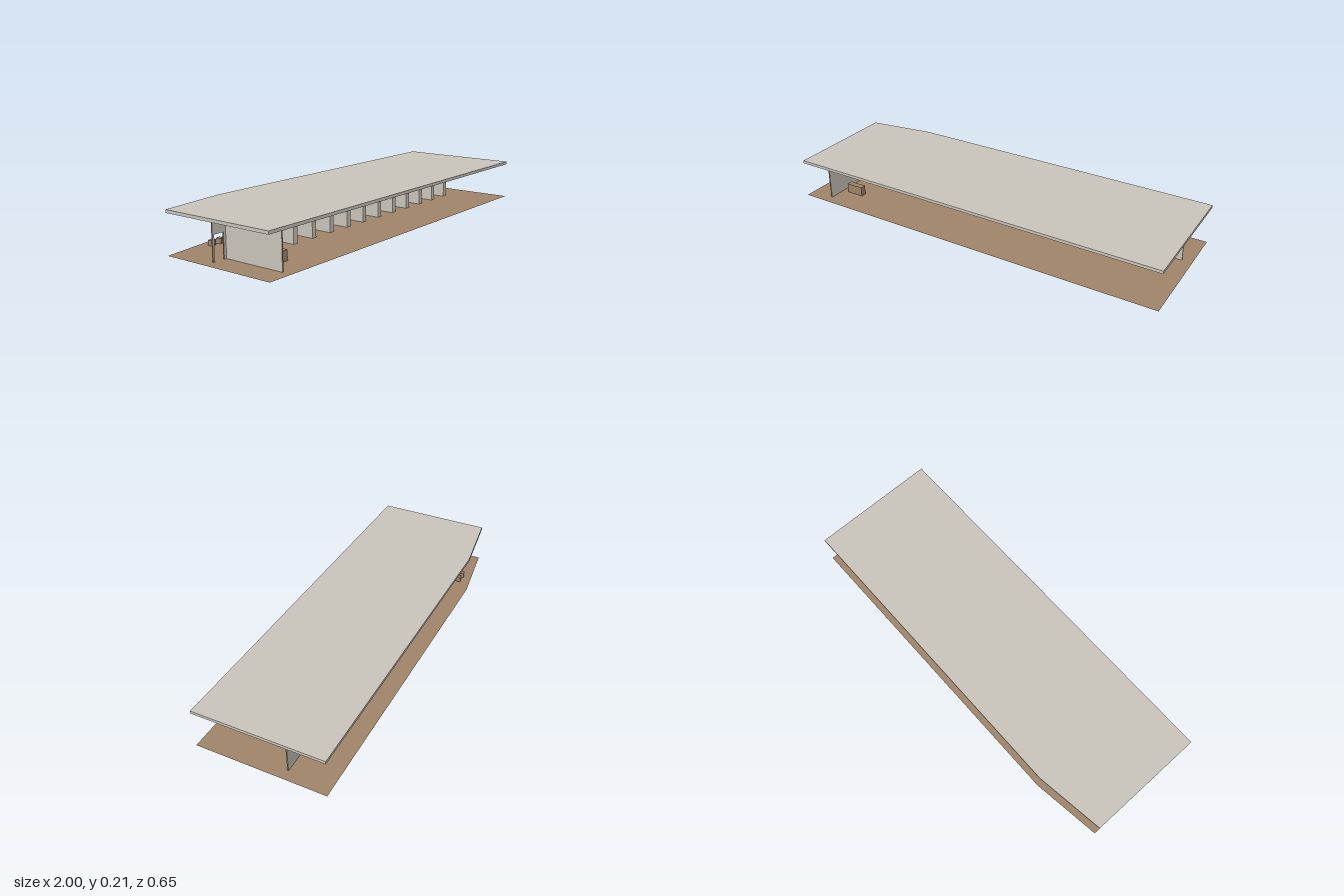
import * as THREE from 'three';

const stone = new THREE.MeshStandardMaterial({ color: 0xcbc6bc });
stone.name = 'pale stone';
const timber = new THREE.MeshStandardMaterial({ color: 0xa0856a });
timber.name = 'brown timber';
const ground = new THREE.MeshStandardMaterial({ color: 0xa0856a, side: THREE.DoubleSide });
ground.name = 'brown floor';

const ROOF_BASE = 0.191, ROOF_TOP = 0.206, WALL = 0.006;

// Slab plan, drawn as (x, -z), with one clipped back corner
const plan = () => new THREE.Shape([
  [-1, -0.325], [1, -0.325], [1, 0.325], [-0.65, 0.325], [-1, 0.275],
].map(([x, y]) => new THREE.Vector2(x, y)));

export function createModel() {
  const model = new THREE.Group();
  model.name = 'pavilion';

  const add = (name, geometry, material, x = 0, y = 0, z = 0) => {
    const mesh = new THREE.Mesh(geometry, material);
    mesh.name = name;
    mesh.position.set(x, y, z);
    model.add(mesh);
    return mesh;
  };
  const block = (name, material, w, h, d, x, z) =>
    add(name, new THREE.BoxGeometry(w, h, d), material, x, h / 2, z);

  // Wall parallel to x: stone faces, timber edges, optional doorway
  const wall = (name, x0, x1, z, door) => {
    const pts = [[x0, 0]];
    if (door) pts.push([door[0], 0], [door[0], 0.12], [door[1], 0.12], [door[1], 0]);
    pts.push([x1, 0], [x1, ROOF_BASE], [x0, ROOF_BASE]);
    const shape = new THREE.Shape(pts.map(([x, y]) => new THREE.Vector2(x, y)));
    const geometry = new THREE.ExtrudeGeometry(shape, { depth: WALL, bevelEnabled: false });
    return add(name, geometry, [stone, timber], 0, 0, z - WALL / 2);
  };

  // Flat roof and ground sheet
  const roof = new THREE.ExtrudeGeometry(plan(), { depth: ROOF_TOP - ROOF_BASE, bevelEnabled: false });
  add('roof', roof.rotateX(-Math.PI / 2), stone, 0, ROOF_BASE, 0);
  add('floor', new THREE.ShapeGeometry(plan()).rotateX(-Math.PI / 2), ground, 0, 0.0006, 0);

  // Walls
  wall('backWall', -0.815, 0.95, -0.11, [-0.312, -0.264]);
  wall('entranceWall', -0.95, -0.822, -0.047, [-0.94, -0.888]);
  const side = wall('sideWall', -0.28, 0.047, 0);
  side.rotation.y = Math.PI / 2;
  side.position.x = -0.872 - WALL / 2;

  // Row of low plinths
  for (let i = 0; i < 13; i++) {
    block('plinth', stone, 0.028, 0.08, 0.092, -0.786 + i * 0.1315, -0.011);
  }

  // Counter and two outdoor stools
  block('counter', timber, 0.094, 0.05, 0.031, -0.788, 0.169);
  [[-0.72, -0.25], [-0.767, -0.252]].forEach(([x, z]) => {
    block('stool', timber, 0.026, 0.026, 0.026, x, z).rotation.y = 0.26;
  });

  return model;
}
